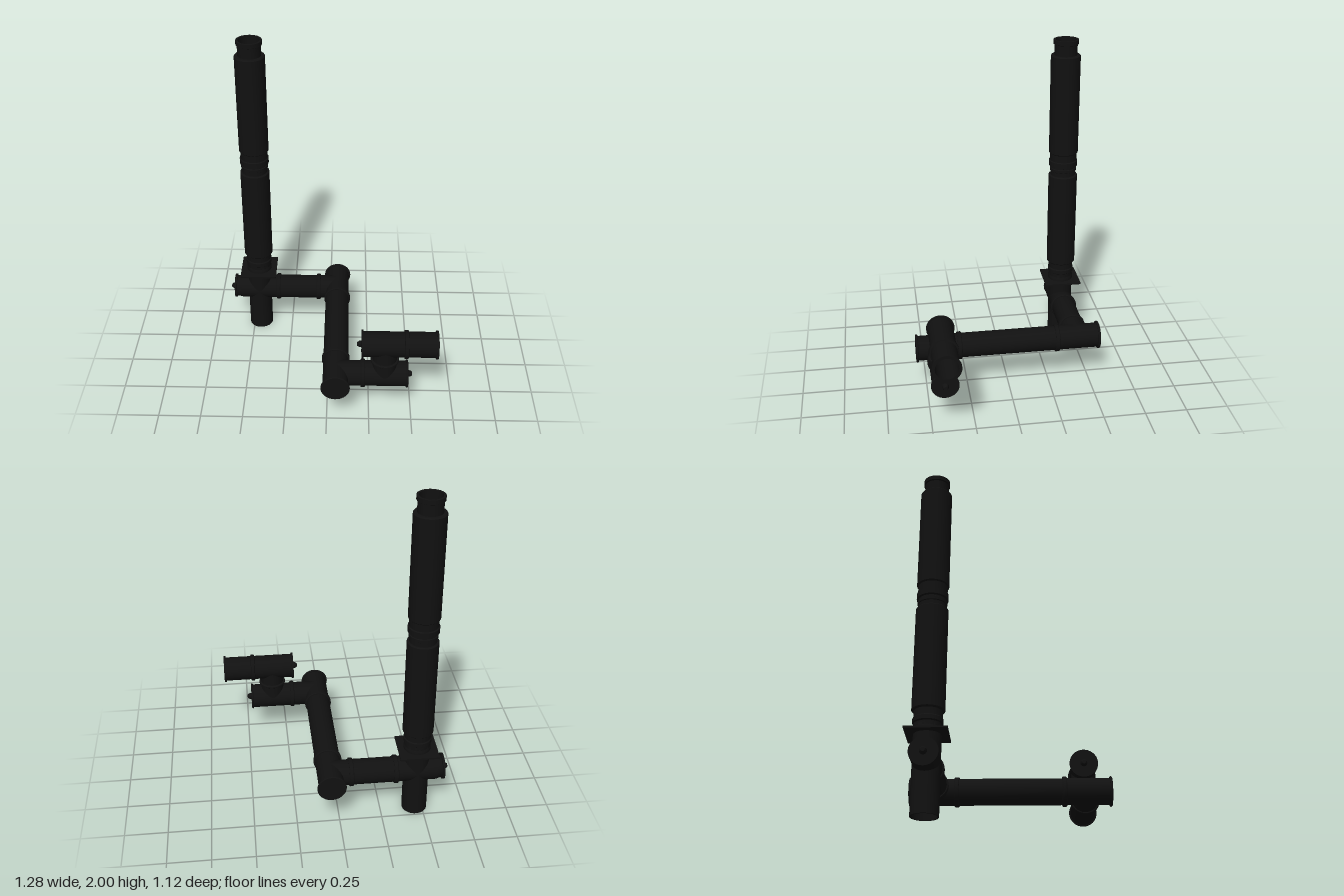
import * as THREE from 'three';
import { toCreasedNormals } from 'three/addons/utils/BufferGeometryUtils.js';

const SIDES = 40;
const material = new THREE.MeshStandardMaterial({ color: 0x111111 });

export function createModel() {
  const model = new THREE.Group();

  // Turned part: profile of [position along axis, radius], always in rising order.
  // bore: inner radius of an open pipe; 0 closes both ends.
  function turned(name, axis, [x, y, z], profile, bore = 0) {
    const first = profile[0][0], last = profile[profile.length - 1][0];
    const pts = [[first, bore], ...profile, [last, bore]];
    if (bore) pts.push([first, bore]);
    const lathe = new THREE.LatheGeometry(pts.map(([t, r]) => new THREE.Vector2(r, t)), SIDES);
    const mesh = new THREE.Mesh(toCreasedNormals(lathe, 0.6), material);
    if (axis === 'x') mesh.rotation.z = -Math.PI / 2;
    if (axis === 'z') mesh.rotation.x = Math.PI / 2;
    mesh.position.set(x, y, z);
    mesh.name = name;
    model.add(mesh);
    return mesh;
  }

  // Raised joint band with softly rounded shoulders
  function band(name, axis, at, t, r = 0.083, w = 0.026) {
    const h = w / 2;
    turned(name, axis, at, [[t - h, r - 0.004], [t - h + 0.004, r], [t + h - 0.004, r], [t + h, r - 0.004]]);
  }

  // Inspection cap with a tapered knob; dir is the way it faces along x
  function knob(name, at, t, dir) {
    const prof = [[0, 0.02], [0.014, 0.018], [0.026, 0.011]].map(([d, r]) => [t + dir * d, r]);
    turned(name, 'x', at, dir > 0 ? prof : prof.reverse());
  }

  const R = 0.074;      // flue radius
  const LOW = 0.288;    // height of the horizontal run
  const HIGH = 0.507;   // height of the inlet
  const BACK = -0.418, FRONT = 0.418;

  // Chimney
  const stack = [-0.456, 0, BACK];
  turned('lowerFlue', 'y', stack, [[0, R], [0.57, R]], 0.066);
  turned('lowerCollar', 'y', stack, [
    [0.44, 0.078], [0.458, 0.078], [0.465, 0.074], [0.488, 0.074], [0.494, 0.081],
    [0.516, 0.081], [0.522, 0.076], [0.565, 0.076]], 0.066);
  const body = (a, b) => [[a, 0.083], [a + 0.006, 0.0885], [b - 0.006, 0.0885], [b, 0.083]];
  turned('lowerInsulatedPipe', 'y', stack, body(0.56, 1.16), 0.062);
  turned('middleJoint', 'y', stack, [
    [1.155, 0.077], [1.185, 0.077], [1.188, 0.081], [1.205, 0.081], [1.208, 0.077], [1.216, 0.077],
    [1.22, 0.087], [1.252, 0.087], [1.256, 0.081], [1.305, 0.081]], 0.062);
  turned('upperInsulatedPipe', 'y', stack, body(1.3, 1.91), 0.062);
  turned('chimneyMouth', 'y', stack, [[1.905, 0.068], [1.972, 0.068], [1.976, 0.075], [2, 0.075]], 0.062);

  // Square plate around the chimney, with an opening for the flue
  const outline = new THREE.Shape();
  const s = 0.113;
  outline.moveTo(-s, -s).lineTo(s, -s).lineTo(s, s).lineTo(-s, s).closePath();
  outline.holes.push(new THREE.Path().absarc(0, 0, 0.07, 0, Math.PI * 2, true));
  const plate = new THREE.Mesh(
    new THREE.ExtrudeGeometry(outline, { depth: 0.01, bevelEnabled: false, curveSegments: 20 }), material);
  plate.rotation.x = -Math.PI / 2;
  plate.position.set(stack[0], 0.43, BACK);
  plate.name = 'supportPlate';
  model.add(plate);

  // Back run, from the chimney tee to the corner
  const backRun = [0, LOW, BACK];
  turned('backPipe', 'x', backRun, [
    [-0.617, 0.076], [-0.604, 0.076], [-0.604, 0.064], [-0.565, R], [0.051, R]]);
  knob('backKnob', backRun, -0.615, -1);
  band('backBand', 'x', backRun, -0.332);
  band('backBand', 'x', backRun, -0.071);

  // Long connecting run with a capped tee at each end
  const longRun = [0.051, LOW, 0];
  turned('longPipe', 'z', longRun, [[-0.557, R], [0.557, R]]);
  for (const side of [-1, 1]) {
    band('longBand', 'z', longRun, side * 0.297);
    band('endCap', 'z', longRun, side * 0.552, 0.084, 0.014);
  }

  // Front run, lower part
  const frontRun = [0, LOW, FRONT];
  turned('frontPipe', 'x', frontRun, [[0.051, R], [0.472, R]]);
  band('frontBand', 'x', frontRun, 0.21);
  band('frontCap', 'x', frontRun, 0.467, 0.081, 0.012);
  knob('frontKnob', frontRun, 0.472, 1);

  // Riser joining the front run to the inlet
  const riser = [0.335, 0, FRONT];
  turned('riser', 'y', riser, [[LOW, 0.071], [HIGH, 0.071]]);
  band('riserBand', 'y', riser, 0.397, 0.082, 0.016);

  // Inlet pipe: closed towards -x, open towards +x
  const inlet = [0, HIGH, FRONT];
  turned('inletPipe', 'x', inlet, [[0.205, R], [0.637, R]], 0.066);
  turned('inletCap', 'x', inlet, [[0.199, 0.082], [0.21, 0.082]]);
  knob('inletKnob', inlet, 0.2, -1);
  band('inletBand', 'x', inlet, 0.456);
  turned('inletRim', 'x', inlet, [[0.625, 0.083], [0.637, 0.083]], 0.066);

  // Hollow out the bands nowhere they would block an open bore
  model.children.filter((m) => m.name === 'inletBand').forEach((m) => {
    m.geometry = toCreasedNormals(new THREE.LatheGeometry(
      [[0.073, 0.443], [0.083, 0.446], [0.083, 0.466], [0.073, 0.469]].map(([r, t]) => new THREE.Vector2(r, t)), SIDES), 0.6);
  });

  return model;
}
